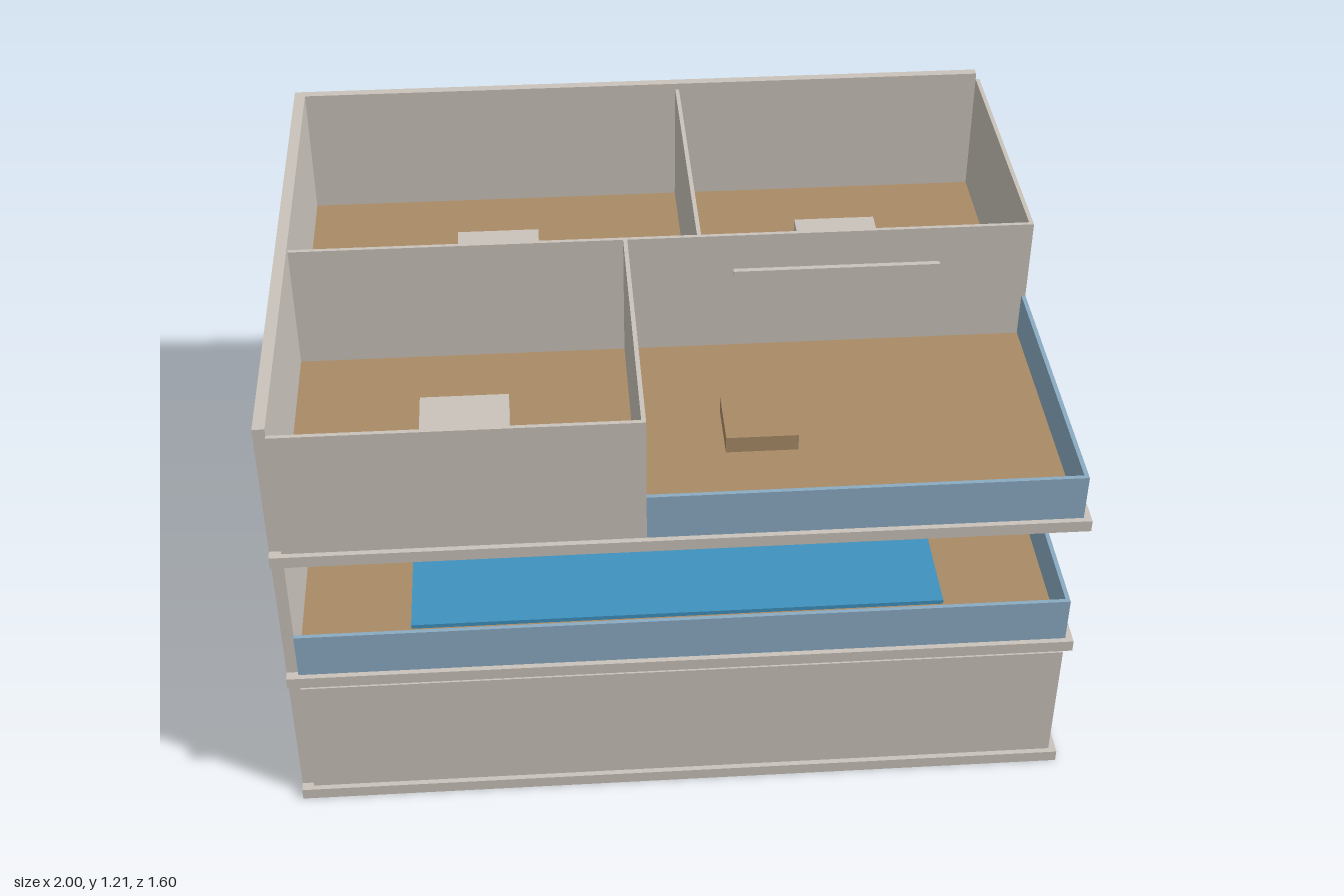
import * as THREE from 'three';

const mat = (name, color) => {
  const m = new THREE.MeshStandardMaterial({ color });
  m.name = name;
  return m;
};

export function createModel() {
  const house = new THREE.Group();
  house.name = 'house';
  const plaster = mat('plaster', 0xc9c3ba);
  const wood = mat('wood floor', 0xa98b67);
  const glass = mat('balustrade glass', 0x8aabc2);
  const water = mat('pool water', 0x3f92bf);

  const STOREY = 0.4035, SLAB = 0.032, FLOOR = 0.036;
  const WALL = 0.385, RAIL = 0.158, T = 0.011;
  const IN = 0.97, BACK = 0.775;      // inner faces of the outer walls

  // Box given by its limits on each axis
  function box(parent, name, material, [x0, x1], [y0, y1], [z0, z1]) {
    const mesh = new THREE.Mesh(new THREE.BoxGeometry(x1 - x0, y1 - y0, z1 - z0), material);
    mesh.position.set((x0 + x1) / 2, (y0 + y1) / 2, (z0 + z1) / 2);
    mesh.name = name;
    parent.add(mesh);
  }

  // Thin upright panels standing on the floor
  const alongX = (g, name, m, x0, x1, z, h) => box(g, name, m, [x0, x1], [SLAB, h], [z, z + T]);
  const alongZ = (g, name, m, x, z0, z1, h) => box(g, name, m, [x, x + T], [SLAB, h], [z0, z1]);

  // Slab, floor finish and the two thick walls shared by every storey
  const storeys = ['groundStorey', 'poolStorey', 'topStorey'].map((name, i) => {
    const g = new THREE.Group();
    g.name = name;
    g.position.y = i * STOREY;
    box(g, 'slab', plaster, [-1, 1], [0, SLAB], [-0.8, 0.8]);
    box(g, 'floor', wood, [-IN, IN], [SLAB, FLOOR], [-BACK, BACK]);
    box(g, 'sideWall', plaster, [-1, -IN], [SLAB, STOREY], [-0.8, BACK]);
    box(g, 'backWall', plaster, [-IN, IN], [SLAB, STOREY], [-0.8, -BACK]);
    house.add(g);
    return g;
  });
  const [ground, pool, top] = storeys;

  // Ground storey: closed front and side
  alongX(ground, 'frontWall', plaster, -IN, IN + T, BACK, WALL);
  alongZ(ground, 'thinSideWall', plaster, IN, -BACK, BACK, WALL);

  // Pool storey: recessed wall behind a full-width terrace
  alongZ(pool, 'thinSideWall', plaster, IN, -BACK, 0.166, WALL);
  alongX(pool, 'recessedWall', plaster, -IN, IN, 0.155, WALL);
  alongX(pool, 'frontBalustrade', glass, -IN, IN + T, BACK, RAIL);
  alongZ(pool, 'sideBalustrade', glass, IN, 0.166, BACK, RAIL);
  box(pool, 'pool', water, [-0.69, 0.69], [FLOOR, 0.048], [0.3, 0.64]);

  // Top storey: three open rooms and a corner terrace
  alongZ(top, 'thinSideWall', plaster, IN, -BACK, 0.008, WALL);
  alongX(top, 'middleWall', plaster, -IN, IN, -0.003, WALL);
  alongZ(top, 'backPartition', plaster, 0.092, -BACK, -0.003, WALL);
  alongZ(top, 'frontPartition', plaster, -0.102, 0.008, BACK, WALL);
  alongX(top, 'frontWall', plaster, -IN, -0.091, BACK, WALL);
  alongX(top, 'frontBalustrade', glass, -0.091, IN + T, BACK, RAIL);
  alongZ(top, 'sideBalustrade', glass, IN, 0.008, BACK, RAIL);

  // Beds, terrace table and the high bar
  for (const [x, z] of [[-0.435, -0.39], [0.535, -0.39], [-0.53, 0.39]]) {
    box(top, 'bed', plaster, [x - 0.115, x + 0.115], [FLOOR, 0.085], [z - 0.135, z + 0.135]);
  }
  box(top, 'table', wood, [0.13, 0.315], [FLOOR, 0.082], [0.3, 0.475]);
  box(top, 'bar', plaster, [0.172, 0.705], [0.362, 0.378], [0.152, 0.166]);

  return house;
}
